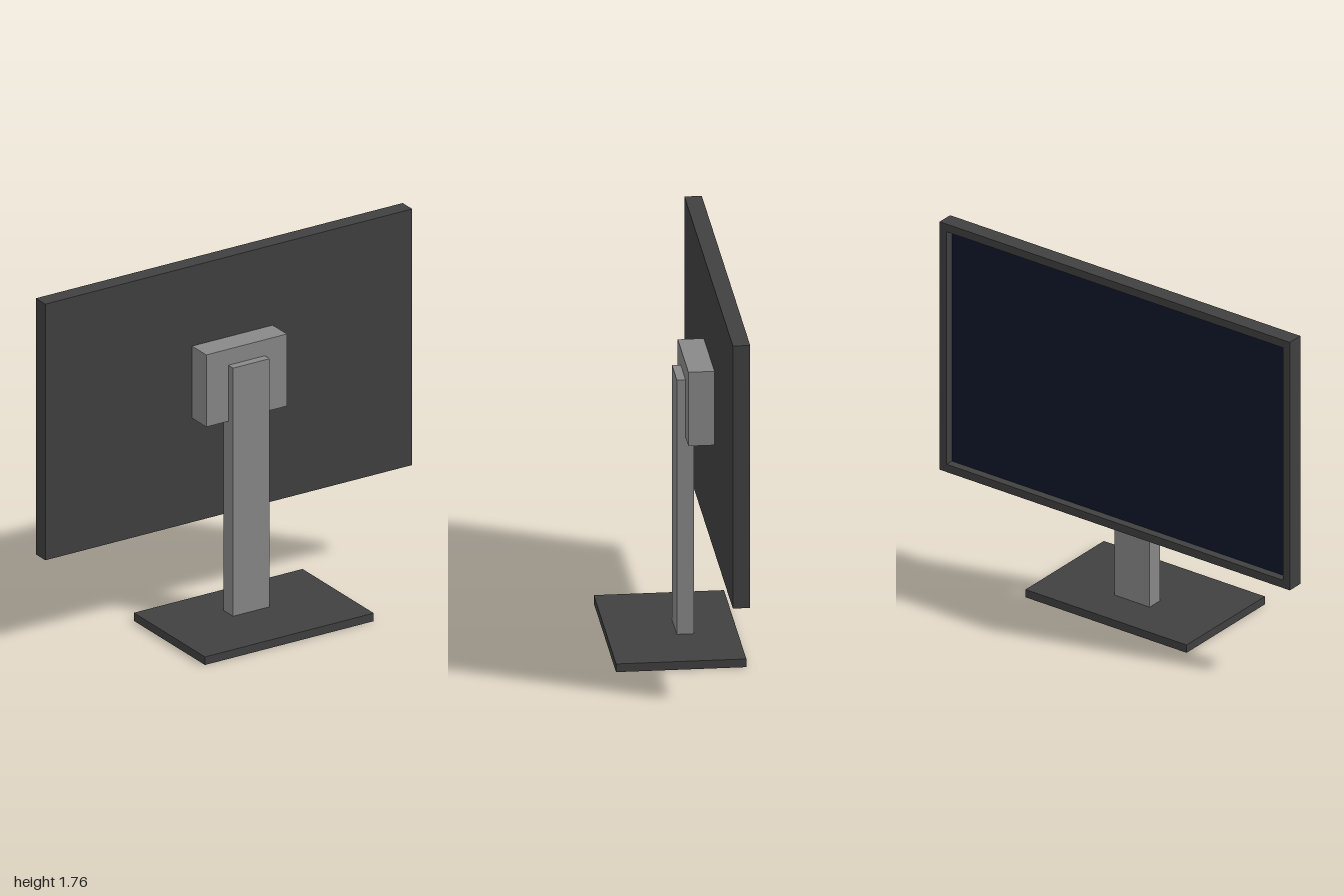
import * as THREE from 'three';

const dark = new THREE.MeshStandardMaterial({ color: 0x404040 });
const grey = new THREE.MeshStandardMaterial({ color: 0x888888 });
const navy = new THREE.MeshStandardMaterial({ color: 0x0f172a });

// Box given by its extents along each axis
function block(name, material, [x0, x1], [y0, y1], [z0, z1]) {
  const mesh = new THREE.Mesh(new THREE.BoxGeometry(x1 - x0, y1 - y0, z1 - z0), material);
  mesh.position.set((x0 + x1) / 2, (y0 + y1) / 2, (z0 + z1) / 2);
  mesh.name = name;
  return mesh;
}

function rectangle(PathType, x0, x1, y0, y1) {
  return new PathType([[x0, y0], [x1, y0], [x1, y1], [x0, y1]].map(([x, y]) => new THREE.Vector2(x, y)));
}

export function createModel() {
  const model = new THREE.Group();
  model.name = 'monitor';

  // Stand
  model.add(block('base', dark, [-0.44, 0.48], [0, 0.04], [-0.3, 0.3]));
  model.add(block('post', grey, [-0.08, 0.12], [0.04, 1.28], [-0.1, -0.02]));
  model.add(block('mountBracket', grey, [-0.2, 0.24], [1, 1.36], [-0.18, -0.06]));

  // Display: rear cover, bezel frame and recessed screen facing -z
  const display = new THREE.Group();
  display.name = 'display';
  const bezel = 0.04;
  const outline = rectangle(THREE.Shape, -1, 1, 0.48, 1.76);
  outline.holes.push(rectangle(THREE.Path, -1 + bezel, 1 - bezel, 0.48 + bezel, 1.76 - bezel));
  const frame = new THREE.Mesh(
    new THREE.ExtrudeGeometry(outline, { depth: 0.06, bevelEnabled: false }), dark);
  frame.position.z = -0.26;
  frame.name = 'bezelFrame';
  display.add(frame);
  display.add(block('rearCover', dark, [-1, 1], [0.48, 1.76], [-0.2, -0.18]));
  display.add(block('screen', navy, [-1 + bezel, 1 - bezel], [0.48 + bezel, 1.76 - bezel], [-0.22, -0.2]));
  model.add(display);

  return model;
}
